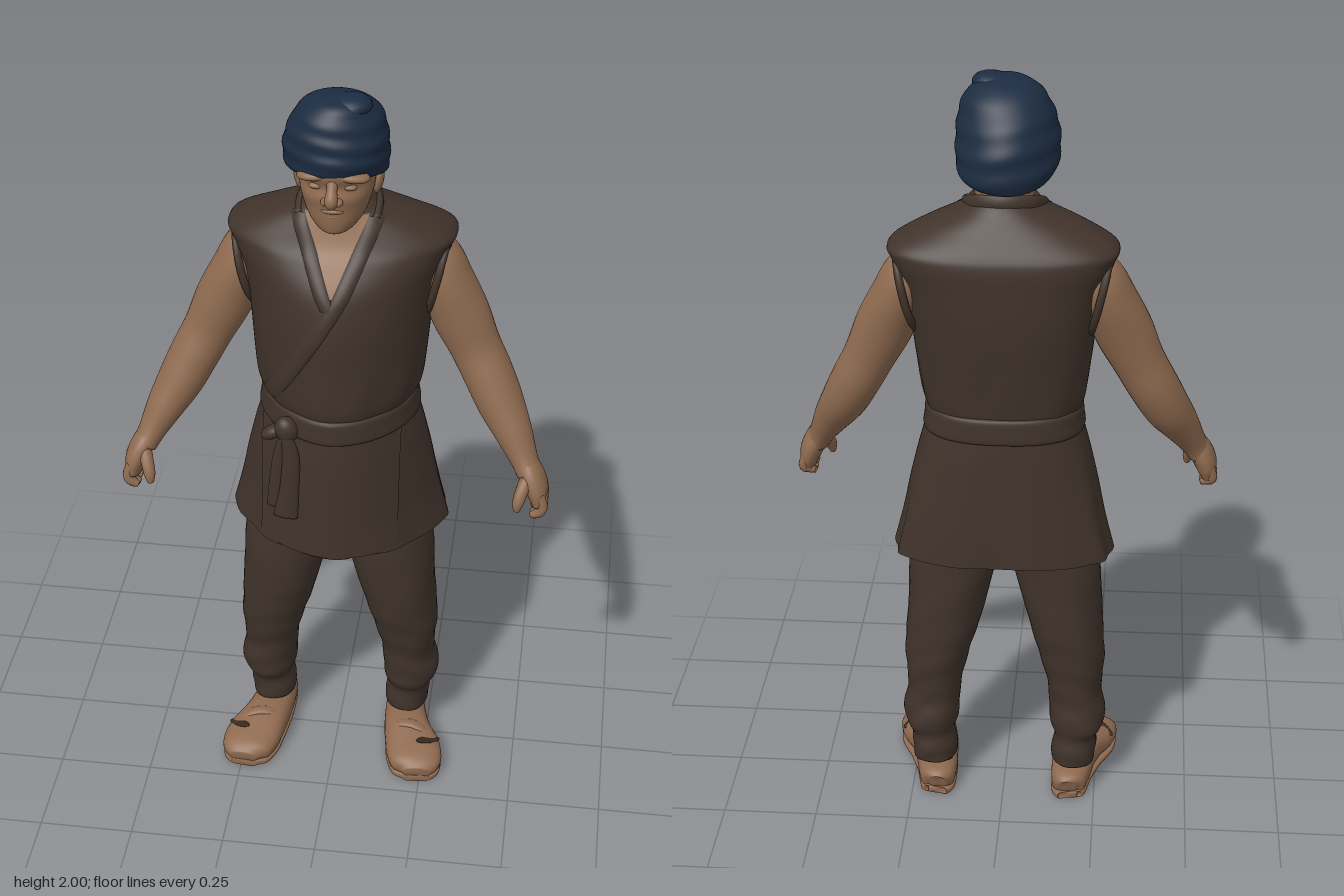
import * as THREE from 'three';

const V3 = (x, y, z) => new THREE.Vector3(x, y, z);
const mat = (name, color) => {
  const m = new THREE.MeshStandardMaterial({ color, side: THREE.DoubleSide });
  m.name = name;
  return m;
};

// Smooth interpolation through rows of numbers, t in 0..1
function sample(rows, t) {
  const f = Math.min(t, 0.99999) * (rows.length - 1), i = Math.floor(f), u = f - i;
  const at = k => rows[Math.max(0, Math.min(rows.length - 1, k))];
  const [a, b, c, d] = [at(i - 1), at(i), at(i + 1), at(i + 2)];
  return b.map((q, k) => q + 0.5 * u * (c[k] - a[k]
    + u * (2 * a[k] - 5 * q + 4 * c[k] - d[k] + u * (3 * (q - c[k]) + d[k] - a[k]))));
}

const power = (v, e) => Math.sign(v) * Math.abs(v) ** (2 / e);

// Skin closed rings of points
function skinRings(rings, capped = true) {
  const n = rings[0].length, pos = [], index = [];
  rings.flat().forEach(p => pos.push(p.x, p.y, p.z));
  for (let i = 0; i < rings.length - 1; i++) for (let j = 0; j < n; j++) {
    const a = i * n + j, b = i * n + (j + 1) % n;
    index.push(a, a + n, b, b, a + n, b + n);
  }
  if (capped) [0, rings.length - 1].forEach((r, end) => {
    const mid = rings[r].reduce((s, p) => s.add(p), V3(0, 0, 0)).divideScalar(n), c = pos.length / 3;
    pos.push(mid.x, mid.y, mid.z);
    for (let j = 0; j < n; j++) {
      const a = r * n + j, b = r * n + (j + 1) % n;
      index.push(c, ...(end ? [b, a] : [a, b]));
    }
  });
  const g = new THREE.BufferGeometry();
  g.setAttribute('position', new THREE.Float32BufferAttribute(pos, 3));
  g.setIndex(index);
  g.computeVertexNormals();
  return g;
}

// Upright body: rows [y, cx, cz, rx, rz, exponent, back rz, back exponent] from low to high
function stack(rows, { steps = 40, n = 48, fold = () => 0, lean = () => 0, capped = true } = {}) {
  const rings = [];
  for (let i = 0; i <= steps; i++) {
    const [y, cx, cz, rx, rz, e = 2, rzBack = rz, eBack = e] = sample(rows, i / steps), ring = [];
    for (let j = 0; j < n; j++) {
      const a = j / n * Math.PI * 2, k = 1 + fold(a, y), back = j > n / 2, ex = back ? eBack : e;
      const z = power(Math.sin(a), ex) * (back ? rzBack : rz) * k;
      ring.push(V3(cx + power(Math.cos(a), ex) * rx * k, y + lean(y) * z, cz + z));
    }
    rings.push(ring);
  }
  return skinRings(rings, capped);
}

// Limb along a path: rows [x, y, z, rU, rV, exponent]; rU lies along ref
function limb(rows, ref = V3(0, 0, 1), steps = 24, n = 20) {
  const rings = [], at = t => V3(...sample(rows, t).slice(0, 3));
  for (let i = 0; i <= steps; i++) {
    const t = i / steps, r = sample(rows, t), p = V3(r[0], r[1], r[2]), e = r[5] || 2;
    const T = at(Math.min(1, t + 0.01)).sub(at(Math.max(0, t - 0.01))).normalize();
    const U = ref.clone().addScaledVector(T, -ref.dot(T)).normalize(), W = U.clone().cross(T), ring = [];
    for (let j = 0; j < n; j++) {
      const a = j / n * Math.PI * 2;
      ring.push(p.clone().addScaledVector(U, power(Math.cos(a), e) * r[3]).addScaledVector(W, power(Math.sin(a), e) * r[4]));
    }
    rings.push(ring);
  }
  return skinRings(rings);
}

// Front depth of an upright body at x, y
function frontZ(rows, x, y) {
  let lo = 0, hi = 1;
  for (let i = 0; i < 24; i++) { const m = (lo + hi) / 2; if (sample(rows, m)[0] < y) lo = m; else hi = m; }
  const [, cx, cz, rx, rz, e] = sample(rows, lo);
  return cz + rz * Math.max(0, 1 - Math.abs((x - cx) / rx) ** e) ** (1 / e);
}

// Panel lying on the front of an upright body
function panel(rows, xl, xr, y0, y1, lift, nu = 10, nv = 24) {
  const g = new THREE.PlaneGeometry(1, 1, nu, nv), p = g.attributes.position;
  for (let i = 0; i < p.count; i++) {
    const u = p.getX(i) + 0.5, y = y0 + (p.getY(i) + 0.5) * (y1 - y0);
    const x = xl(y) + u * (xr(y) - xl(y));
    p.setXYZ(i, x, y, frontZ(rows, x, y) + lift(u));
  }
  g.computeVertexNormals();
  return g;
}

export function createModel() {
  const root = new THREE.Group();
  root.name = 'figure';
  const skin = mat('skin', 0x8f6b50), cloth = mat('brown cloth', 0x40332b);
  const navy = mat('navy wrap', 0x1c2c41), hair = mat('dark hair', 0x3c2b20), shoe = mat('tan shoe', 0x8f6a50);
  const add = (name, geo, m) => {
    const mesh = new THREE.Mesh(geo, m);
    mesh.name = name;
    root.add(mesh);
    return mesh;
  };
  const ball = (name, m, p, s, rz = 0, ry = 0) => {
    const b = add(name, new THREE.SphereGeometry(1, 20, 14), m);
    b.position.set(...p); b.scale.set(...s); b.rotation.set(0, ry, rz);
  };

  // Tunic body, bloused over the belt, and skirt
  const tunic = [[1.1, 0, -0.03, 0.195, 0.205, 1.75, 0.145, 2.5], [1.15, 0, -0.03, 0.195, 0.205, 1.75, 0.145, 2.5],
    [1.2, 0, -0.03, 0.21, 0.212, 1.75, 0.15, 2.5], [1.3, 0, -0.04, 0.222, 0.22, 1.75, 0.152, 2.5],
    [1.4, 0, -0.05, 0.232, 0.227, 1.75, 0.153, 2.6], [1.5, 0, -0.06, 0.248, 0.214, 1.85, 0.146, 2.8],
    [1.57, 0, -0.07, 0.275, 0.18, 2.1, 0.135, 3], [1.605, 0, -0.072, 0.28, 0.152, 2.3, 0.12, 3],
    [1.65, 0, -0.055, 0.2, 0.113, 2.3, 0.103, 2.5], [1.69, 0, -0.042, 0.11, 0.086, 2.1, 0.086, 2.1],
    [1.715, 0, -0.04, 0.084, 0.074, 2, 0.074, 2]];
  add('tunic', stack(tunic, { steps: 60, n: 72,
    fold: (a, y) => 0.012 * Math.sin(11 * a + 1) * Math.max(0, 1 - Math.abs(y - 1.22) * 9) }), cloth);
  const skirt = [[0.752, 0, -0.05, 0.286, 0.247, 1.65, 0.148, 2.6], [0.85, 0, -0.048, 0.262, 0.242, 1.65, 0.146, 2.6],
    [0.95, 0, -0.043, 0.242, 0.233, 1.7, 0.146, 2.5], [1.05, 0, -0.035, 0.218, 0.219, 1.75, 0.148, 2.5],
    [1.13, 0, -0.03, 0.195, 0.205, 1.75, 0.145, 2.5]];
  add('tunicSkirt', stack(skirt, { n: 96, capped: false,
    fold: (a, y) => (1.13 - y) * (0.03 * Math.sin(9 * a) + 0.025 * Math.sin(14 * a + 1)) }), cloth);
  add('skirtFlap', panel(skirt, () => -0.19, () => 0.17, 0.757, 1.11, () => 0.005), cloth);

  // Open neckline with crossed lapels and collar
  const edge = y => (y - 1.51) * (y > 1.51 ? 0.44 : 0.58);
  add('chest', panel(tunic, y => -edge(y) - 0.002, y => edge(y) + 0.002, 1.51, 1.685, () => 0.003), skin);
  const roll = u => 0.001 + 0.007 * Math.sin(Math.PI * u) ** 0.6;
  add('leftLapel', panel(tunic, edge, y => edge(y) + 0.045, 1.18, 1.68, roll, 10, 40), cloth);
  add('rightLapel', panel(tunic, y => -edge(y) - 0.042, y => -edge(y), 1.48, 1.68, roll), cloth);
  add('collar', limb([[-0.095, 1.672, 0.03, 0.01, 0.01], [-0.094, 1.69, -0.03, 0.018, 0.012], [-0.066, 1.706, -0.085, 0.022, 0.012],
    [0, 1.712, -0.108, 0.022, 0.012], [0.066, 1.706, -0.085, 0.022, 0.012], [0.094, 1.69, -0.03, 0.018, 0.012],
    [0.095, 1.672, 0.03, 0.01, 0.01]], V3(0, 1, 0), 32, 12), cloth);

  // Belt, knot and hanging ends
  const belt = [[1.1, 0.19, 0.2, 0.145], [1.105, 0.207, 0.219, 0.158], [1.135, 0.204, 0.219, 0.158],
    [1.163, 0.201, 0.215, 0.155], [1.17, 0.19, 0.2, 0.145]];
  add('belt', stack(belt.map(([y, rx, rz, rb]) => [y, 0, -0.03, rx, rz, 1.78, rb, 2.5]), { steps: 20, n: 64 }), cloth);
  ball('beltKnot', cloth, [-0.112, 1.125, 0.158], [0.03, 0.037, 0.026], 0.3);
  add('beltEndLong', limb([[-0.112, 1.12, 0.17, 0.014, 0.01], [-0.1, 1.05, 0.172, 0.022, 0.012],
    [-0.105, 0.95, 0.173, 0.025, 0.012], [-0.115, 0.865, 0.175, 0.032, 0.012, 4]], V3(1, 0, 0)), cloth);
  add('beltEndShort', limb([[-0.115, 1.12, 0.166, 0.012, 0.01], [-0.13, 1.03, 0.16, 0.02, 0.013],
    [-0.142, 0.89, 0.16, 0.024, 0.013, 4]], V3(1, 0, 0)), cloth);
  ball('beltLoop', cloth, [-0.15, 1.1, 0.135], [0.035, 0.018, 0.022], 0.5);

  for (const s of [1, -1]) {
    const side = s > 0 ? 'left' : 'right';
    const mx = rows => rows.map(([x, ...r]) => [x * s, ...r]);

    // Arm with shoulder, biceps and forearm swell
    add(side + 'Arm', limb(mx([[0.185, 1.55, -0.075, 0.06, 0.05], [0.23, 1.515, -0.074, 0.08, 0.066], [0.262, 1.455, -0.067, 0.083, 0.069],
      [0.3, 1.37, -0.058, 0.072, 0.074], [0.34, 1.285, -0.05, 0.063, 0.066], [0.376, 1.215, -0.036, 0.068, 0.064],
      [0.412, 1.145, -0.012, 0.066, 0.06], [0.45, 1.08, 0.022, 0.053, 0.049], [0.482, 1.02, 0.052, 0.042, 0.036],
      [0.5, 0.985, 0.068, 0.045, 0.032]]), undefined, 48, 28), skin);
    const trim = add(side + 'ArmholeTrim', new THREE.TorusGeometry(0.09, 0.01, 10, 40), cloth);
    trim.position.set(0.24 * s, 1.484, -0.07);
    trim.rotation.set(0, Math.PI / 2, s * -0.22, 'ZYX');
    trim.scale.set(0.98, 1.22, 1);

    // Hand with four curled fingers and a thumb
    add(side + 'Palm', limb(mx([[0.49, 1.01, 0.06, 0.038, 0.03], [0.508, 0.98, 0.07, 0.052, 0.031], [0.522, 0.945, 0.078, 0.056, 0.029],
      [0.527, 0.91, 0.084, 0.048, 0.018]])), skin);
    for (let i = 0; i < 4; i++) {
      const z = 0.042 + i * 0.024, d = [0.016, 0.004, 0, 0.008][i];
      add(side + 'Finger' + (i + 1), limb(mx([[0.526, 0.95, z, 0.015, 0.015], [0.537, 0.915, z + 0.003, 0.015, 0.016],
        [0.528, 0.89 + d, z + 0.006, 0.014, 0.014], [0.51, 0.882 + d, z + 0.008, 0.008, 0.008]]), undefined, 12, 12), skin);
    }
    add(side + 'Thumb', limb(mx([[0.498, 0.99, 0.09, 0.02, 0.018], [0.485, 0.962, 0.118, 0.018, 0.017],
      [0.477, 0.935, 0.134, 0.015, 0.015], [0.474, 0.912, 0.14, 0.008, 0.008]]), undefined, 14, 14), skin);

    // Baggy trouser leg gathered at the ankle
    const leg = [[0.095, 0.19, -0.05, 0.06, 0.076], [0.13, 0.192, -0.05, 0.06, 0.078], [0.17, 0.195, -0.045, 0.058, 0.077],
      [0.205, 0.2, -0.04, 0.072, 0.09], [0.25, 0.198, -0.035, 0.076, 0.092], [0.31, 0.191, -0.031, 0.072, 0.09],
      [0.4, 0.184, -0.025, 0.086, 0.104], [0.5, 0.166, -0.019, 0.098, 0.116], [0.6, 0.15, -0.014, 0.108, 0.12],
      [0.7, 0.135, -0.012, 0.117, 0.12], [0.8, 0.118, -0.015, 0.112, 0.115], [0.95, 0.09, -0.02, 0.085, 0.1]];
    add(side + 'TrouserLeg', stack(leg.map(([y, x, ...r]) => [y, x * s, ...r, 2.15]), { steps: 90, n: 40,
      fold: (a, y) => Math.max(0, 0.034 - 0.055 * y) * Math.sin(y * 72 + 2.5 * Math.sin(a + s) + 1.5 * Math.cos(2 * a))
        + 0.008 * Math.sin(y * 31 + 3 * a * s) }), cloth);

    // Ankle and slipper
    add(side + 'Ankle', new THREE.CylinderGeometry(0.048, 0.045, 0.09, 20), hair).position.set(0.188 * s, 0.07, -0.05);
    add(side + 'Slipper', limb(mx([[0.18, 0.034, -0.13, 0.022, 0.026, 2.5], [0.18, 0.038, -0.115, 0.044, 0.037, 2.5],
      [0.185, 0.041, -0.06, 0.054, 0.041, 2.6], [0.192, 0.047, 0, 0.059, 0.047, 2.5], [0.204, 0.048, 0.06, 0.066, 0.048, 2.4],
      [0.225, 0.042, 0.12, 0.076, 0.04, 2.4], [0.24, 0.035, 0.175, 0.068, 0.032, 2.4], [0.243, 0.03, 0.206, 0.036, 0.018, 2.2]]),
    V3(1, 0, 0), 36, 28), shoe);
    add(side + 'Sole', limb(mx([[0.18, 0.01, -0.13, 0.025, 0.01, 4], [0.18, 0.01, -0.115, 0.045, 0.01, 4], [0.188, 0.01, -0.03, 0.056, 0.01, 4],
      [0.205, 0.01, 0.05, 0.066, 0.01, 4], [0.226, 0.01, 0.12, 0.076, 0.01, 4], [0.24, 0.01, 0.18, 0.065, 0.01, 4],
      [0.243, 0.01, 0.206, 0.035, 0.01, 4]]), V3(1, 0, 0), 36, 28), shoe);
    add(side + 'SlipperBand', limb(mx([[0.148, 0.04, 0.075, 0.014, 0.008], [0.172, 0.081, 0.072, 0.016, 0.009], [0.215, 0.091, 0.075, 0.016, 0.009],
      [0.255, 0.075, 0.085, 0.016, 0.009], [0.28, 0.038, 0.095, 0.014, 0.008]])), shoe);
    ball(side + 'SlipperOpening', hair, [0.266 * s, 0.0745, 0.116], [0.042, 0.0048, 0.014], s * -0.35, s * 0.7);

    // Ear, brow, eyelid and nostril
    ball(side + 'Ear', skin, [0.096 * s, 1.765, 0], [0.013, 0.037, 0.023], -0.15 * s);
    ball(side + 'Brow', skin, [0.042 * s, 1.822, 0.102], [0.046, 0.014, 0.028], -0.1 * s);
    ball(side + 'Eyelid', skin, [0.04 * s, 1.796, 0.11], [0.018, 0.008, 0.011]);
    ball(side + 'Nostril', skin, [0.015 * s, 1.764, 0.13], [0.012, 0.01, 0.014]);
  }

  // Neck, head and face
  add('neck', stack([[1.58, 0, -0.03, 0.085, 0.075], [1.65, 0, -0.022, 0.08, 0.077], [1.7, 0, -0.015, 0.076, 0.078],
    [1.78, 0, -0.01, 0.078, 0.08]]), skin);
  add('head', stack([[1.665, 0, 0.06, 0.025, 0.045, 2], [1.673, 0, 0.05, 0.047, 0.066, 2], [1.7, 0, 0.034, 0.069, 0.088, 2.1],
    [1.735, 0, 0.022, 0.083, 0.102, 2.2], [1.765, 0, 0.016, 0.09, 0.112, 2.3], [1.795, 0, 0.01, 0.093, 0.112, 2.2],
    [1.83, 0, 0.005, 0.097, 0.126, 2.1], [1.9, 0, 0, 0.09, 0.11, 2]]), skin);
  add('nose', limb([[0, 1.825, 0.112, 0.015, 0.012], [0, 1.795, 0.128, 0.013, 0.014], [0, 1.772, 0.143, 0.016, 0.016],
    [0, 1.757, 0.134, 0.012, 0.012]], V3(1, 0, 0)), skin);
  ball('upperLip', skin, [0, 1.734, 0.11], [0.034, 0.009, 0.018]);
  ball('lowerLip', skin, [0, 1.719, 0.107], [0.029, 0.009, 0.017]);
  ball('chin', skin, [0, 1.69, 0.092], [0.034, 0.02, 0.027]);
  ball('hair', hair, [0, 1.8, -0.042], [0.098, 0.083, 0.09]);

  // Head wrap with winding folds
  add('headWrap', stack([[1.79, 0, -0.01, 0.1, 0.12], [1.782, -0.004, -0.01, 0.115, 0.134], [1.802, -0.005, -0.009, 0.126, 0.145],
    [1.85, -0.005, -0.008, 0.128, 0.144], [1.9, -0.004, -0.004, 0.12, 0.13], [1.95, 0, 0.006, 0.1, 0.1],
    [1.98, 0.003, 0.016, 0.066, 0.064], [1.992, 0.005, 0.02, 0.02, 0.02]], { steps: 60, n: 64,
    lean: y => 0.3 - (y - 1.78) * 1.1,
    fold: (a, y) => 0.014 * Math.sin(y * 120 + 3 * Math.sin(a + 0.6)) + 0.016 * Math.sin(3 * a + y * 30) }), navy);
  ball('wrapTuck', navy, [0.025, 1.966, 0.035], [0.06, 0.032, 0.05], 0.2);
  return root;
}
